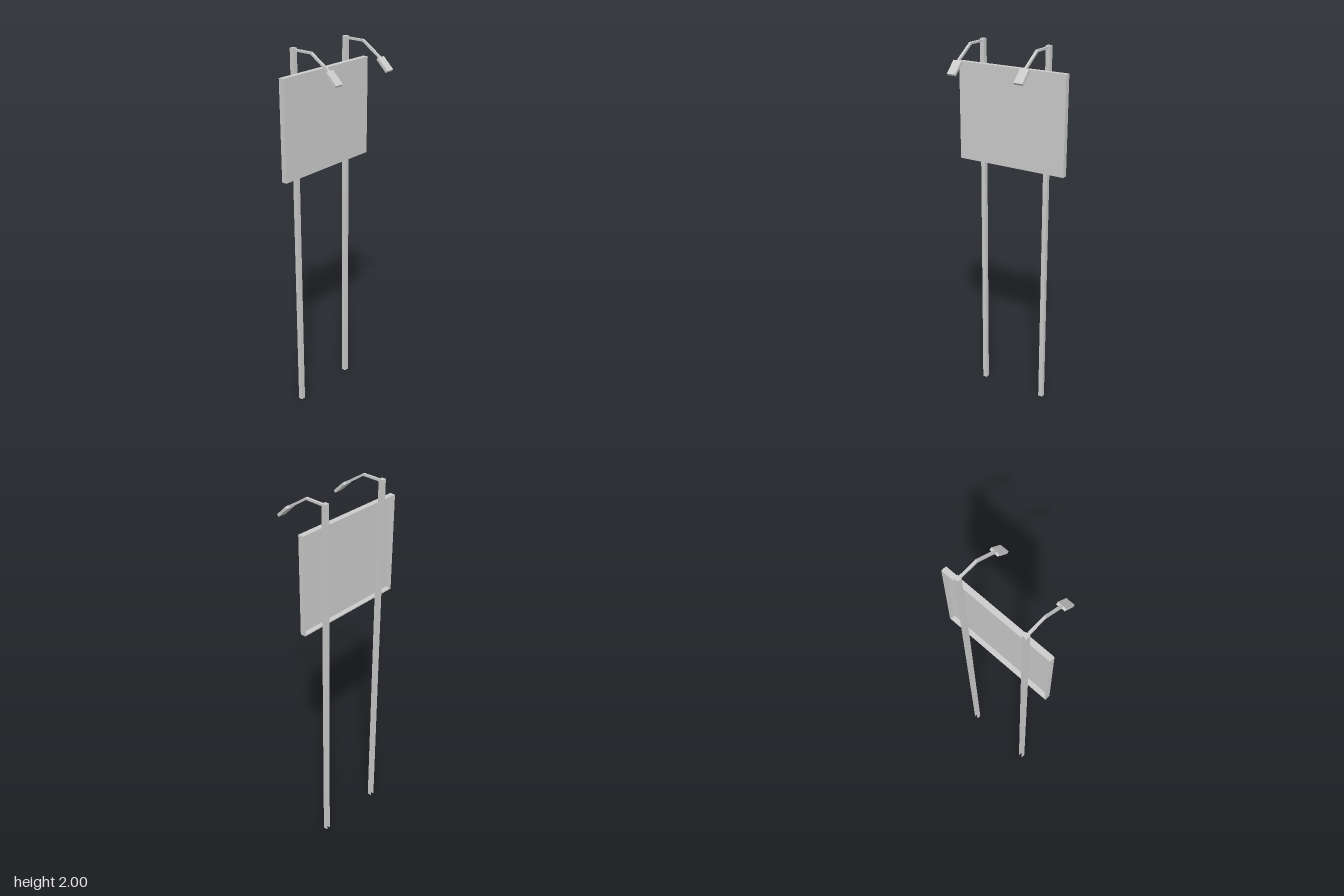
import * as THREE from 'three';

const material = new THREE.MeshStandardMaterial({ color: 0xcccccc, flatShading: true });

function add(parent, name, geometry, x = 0, y = 0, z = 0) {
  const mesh = new THREE.Mesh(geometry, material);
  mesh.name = name;
  mesh.position.set(x, y, z);
  parent.add(mesh);
  return mesh;
}

// Closed outline from corner pairs
const outline = (points) => new THREE.Shape(points.map(([a, b]) => new THREE.Vector2(a, b)));
const extrude = (shape, depth) => new THREE.ExtrudeGeometry(shape, { depth, bevelEnabled: false });

// Upright channel, open to the back, with a closed top
function createPost() {
  const post = new THREE.Group();
  post.name = 'post';
  const w = 0.0125, t = 0.004;
  // Plan corners as (x, -z)
  const channel = extrude(outline([
    [-w, 0.127], [w, 0.127], [w, 0.15], [w - t, 0.15],
    [w - t, 0.127 + t], [-w + t, 0.127 + t], [-w + t, 0.15], [-w, 0.15],
  ]), 1.996);
  channel.rotateX(-Math.PI / 2);
  add(post, 'postChannel', channel);
  add(post, 'postCap', new THREE.BoxGeometry(2 * w, 0.004, 0.023), 0, 1.998, -0.1385);
  return post;
}

// Bent arm and tilted lamp head reaching over the front of the board
function createLamp() {
  const lamp = new THREE.Group();
  lamp.name = 'lamp';
  const width = 0.0125;
  // Side corners as (z, y)
  const arm = extrude(outline([
    [-0.128, 1.985], [-0.025, 1.985], [0.081, 1.914],
    [0.089, 1.923], [-0.022, 1.996], [-0.128, 1.996],
  ]), width);
  arm.rotateY(-Math.PI / 2);
  arm.translate(width / 2, 0, 0);
  add(lamp, 'lampArm', arm);

  const head = add(lamp, 'lampHead', new THREE.BoxGeometry(0.048, 0.014, 0.083), 0, 1.891, 0.1135);
  head.rotation.x = Math.PI / 4.1;
  return lamp;
}

// Shallow tray: front sheet with a thin rim turned towards the back
function createBoard() {
  const board = new THREE.Group();
  board.name = 'board';
  const hw = 0.313, hh = 0.26, t = 0.006;
  const rect = (a, b) => [[-a, -b], [a, -b], [a, b], [-a, b]];
  const rim = outline(rect(hw, hh));
  rim.holes.push(outline(rect(hw - t, hh - t)));
  add(board, 'boardRim', extrude(rim, 0.025), 0, 0, -0.122);
  add(board, 'boardPanel', new THREE.BoxGeometry(2 * hw, 2 * hh, 0.004), 0, 0, -0.095);
  board.position.set(-0.001, 1.62, 0);
  return board;
}

export function createModel() {
  const model = new THREE.Group();
  model.name = 'billboard';
  model.add(createBoard());
  for (const [side, x] of [['right', -0.194], ['left', 0.188]]) {
    const support = new THREE.Group();
    support.name = side + 'Support';
    support.add(createPost(), createLamp());
    support.position.x = x;
    model.add(support);
  }
  return model;
}
